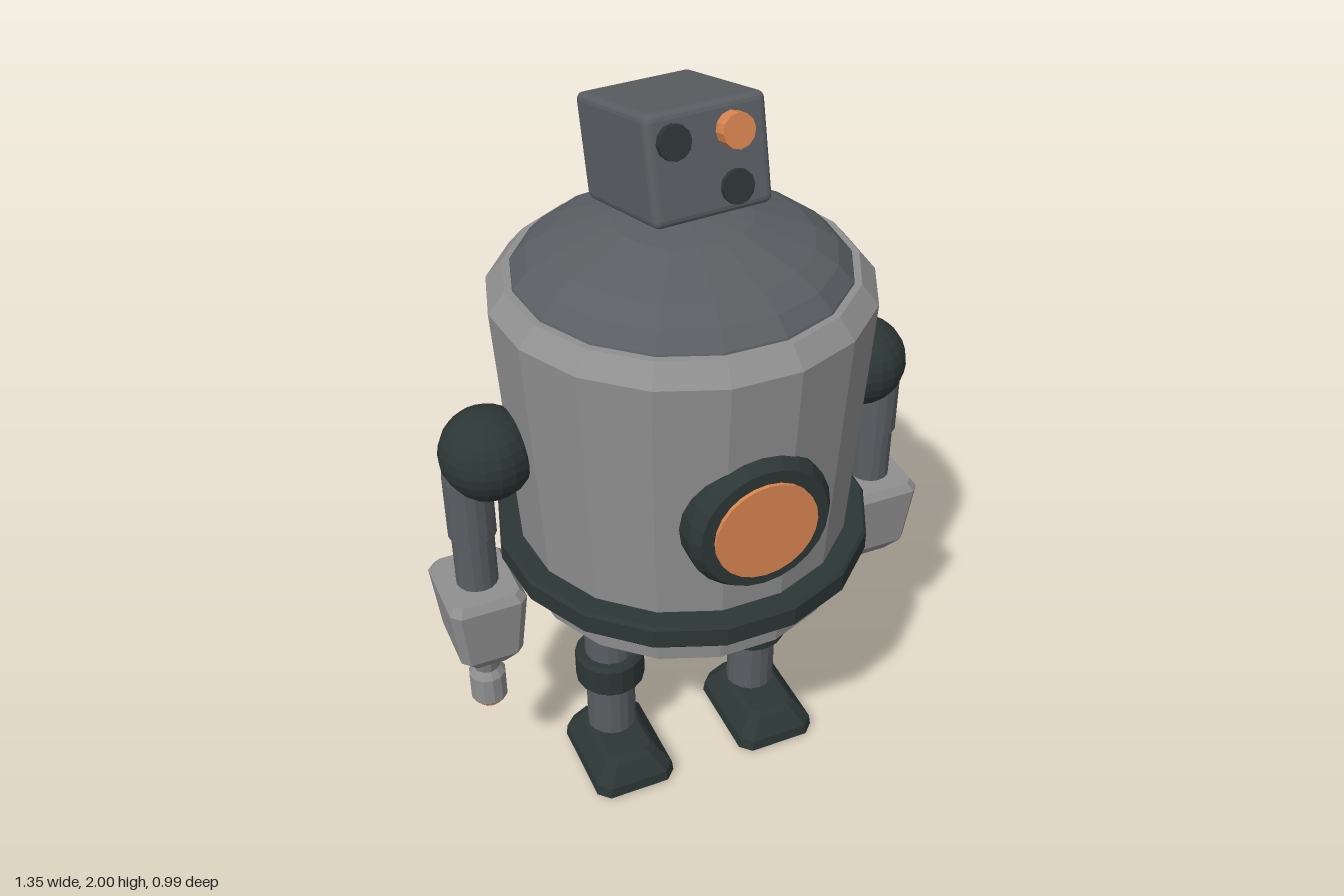
import * as THREE from 'three';
import { RoundedBoxGeometry } from 'three/addons/geometries/RoundedBoxGeometry.js';

const material = (name, color) => {
  const m = new THREE.MeshStandardMaterial({ color, flatShading: true });
  m.name = name;
  return m;
};

// Turned solid from [radius, y] points running bottom to top, a corner at the back
const turned = (points, sides) =>
  new THREE.LatheGeometry(points.map(([r, y]) => new THREE.Vector2(r, y)), sides, Math.PI);

// Chamfered rectangle sections { y, hx, z0, z1, c } stacked bottom to top, capped
function loft(sections) {
  const pos = [];
  const n = 8;
  for (const { y, hx, z0, z1, c } of sections) {
    const ring = [
      [hx - c, z1], [hx, z1 - c], [hx, z0 + c], [hx - c, z0],
      [c - hx, z0], [-hx, z0 + c], [-hx, z1 - c], [c - hx, z1],
    ];
    for (const [x, z] of ring) pos.push(x, y, z);
  }
  const index = [];
  for (let j = 0; j < sections.length - 1; j++) {
    for (let i = 0; i < n; i++) {
      const a = j * n + i, b = j * n + (i + 1) % n;
      index.push(a, b, a + n, b, b + n, a + n);
    }
  }
  const top = (sections.length - 1) * n;
  for (let i = 1; i < n - 1; i++) {
    index.push(0, i + 1, i, top, top + i, top + i + 1);
  }
  const g = new THREE.BufferGeometry();
  g.setAttribute('position', new THREE.Float32BufferAttribute(pos, 3));
  g.setIndex(index);
  g.computeVertexNormals();
  return g;
}

export function createModel() {
  const model = new THREE.Group();
  model.name = 'robot';
  const grey = material('light grey', 0x8f8f8f);
  const slate = material('slate', 0x5a5e62);
  const dark = material('dark green', 0x2c3735);
  const orange = material('orange', 0xd98550);

  const add = (parent, name, geometry, mat, x = 0, y = 0, z = 0) => {
    const mesh = new THREE.Mesh(geometry, mat);
    mesh.name = name;
    mesh.position.set(x, y, z);
    parent.add(mesh);
    return mesh;
  };

  // Barrel body, belt and dome
  add(model, 'body', turned([[0, 0.615], [0.37, 0.615], [0.425, 0.665], [0.475, 1.51], [0.432, 1.56], [0, 1.56]], 17), grey);
  add(model, 'belt', turned([[0.41, 0.763], [0.487, 0.763], [0.495, 0.772], [0.495, 0.823], [0.487, 0.832], [0.41, 0.832]], 17), dark);
  add(model, 'dome', turned([[0.418, 1.55], [0.412, 1.565], [0.375, 1.603], [0.32, 1.635], [0.17, 1.69], [0, 1.71]], 17), slate);

  // Round chest lamp
  const lamp = new THREE.Group();
  lamp.name = 'chestLamp';
  lamp.position.y = 1.106;
  lamp.rotation.x = Math.PI / 2;
  model.add(lamp);
  add(lamp, 'lampRim', turned([[0, 0.4], [0.185, 0.4], [0.185, 0.455], [0.165, 0.486], [0, 0.486]], 24), dark);
  add(lamp, 'lampGlass', new THREE.CylinderGeometry(0.132, 0.132, 0.02, 24), orange, 0, 0.486, 0);

  // Tilted box head with three eyes
  const head = new THREE.Group();
  head.name = 'head';
  head.position.set(0, 1.84, -0.05);
  head.rotation.set(-0.21, 0.085, 0, 'YXZ');
  model.add(head);
  add(head, 'headBox', new RoundedBoxGeometry(0.305, 0.256, 0.362, 2, 0.018), slate);
  const eyes = [
    ['rightEye', -0.09, 0.061, 0.015, dark],
    ['leftEye', 0.058, 0.061, 0.036, orange],
    ['lowerEye', 0.058, -0.069, 0.012, dark],
  ];
  for (const [name, x, y, depth, mat] of eyes) {
    const eye = add(head, name, new THREE.CylinderGeometry(0.041, 0.041, depth + 0.02, 12), mat, x, y, 0.171 + depth / 2);
    eye.rotation.x = Math.PI / 2;
  }

  const handShape = loft([
    { y: 0.513, hx: 0.05, z0: -0.08, z1: 0.06, c: 0.012 },
    { y: 0.565, hx: 0.084, z0: -0.112, z1: 0.098, c: 0.02 },
    { y: 0.745, hx: 0.102, z0: -0.13, z1: 0.114, c: 0.022 },
    { y: 0.768, hx: 0.086, z0: -0.113, z1: 0.1, c: 0.018 },
  ]);
  const footShape = loft([
    { y: 0, hx: 0.104, z0: -0.096, z1: 0.198, c: 0.025 },
    { y: 0.012, hx: 0.117, z0: -0.107, z1: 0.208, c: 0.03 },
    { y: 0.045, hx: 0.113, z0: -0.105, z1: 0.206, c: 0.03 },
    { y: 0.098, hx: 0.076, z0: -0.078, z1: 0.172, c: 0.025 },
    { y: 0.11, hx: 0.062, z0: -0.066, z1: 0.158, c: 0.02 },
  ]);
  const cuffShape = turned([[0.06, 0.283], [0.088, 0.283], [0.097, 0.293], [0.097, 0.376], [0.088, 0.386], [0.06, 0.386]], 16);

  // Arms and legs, one set per side
  for (const side of [-1, 1]) {
    const label = side > 0 ? 'left' : 'right';
    const arm = new THREE.Group();
    arm.name = label + 'Arm';
    arm.position.x = side * 0.575;
    model.add(arm);
    add(arm, 'shoulder', new THREE.SphereGeometry(0.12, 20, 14), dark, -side * 0.057, 1.153, 0);
    add(arm, 'upperArmBend', new THREE.SphereGeometry(0.062, 16, 10), slate, 0, 1.1, 0);
    add(arm, 'upperArm', new THREE.CylinderGeometry(0.062, 0.062, 0.175, 16), slate, 0, 1.0125, 0);
    add(arm, 'forearm', new THREE.CylinderGeometry(0.055, 0.055, 0.18, 16), slate, 0, 0.84, 0);
    add(arm, 'hand', handShape, grey);

    const leg = new THREE.Group();
    leg.name = label + 'Leg';
    leg.position.x = side * 0.222;
    model.add(leg);
    add(leg, 'shin', new THREE.CylinderGeometry(0.069, 0.069, 0.54, 16), slate, 0, 0.36, 0);
    add(leg, 'kneeCuff', cuffShape, dark);
    add(leg, 'foot', footShape, dark);

    // Nozzle below the right hand
    if (side < 0) {
      add(arm, 'nozzle', turned([[0, 0.348], [0.044, 0.348], [0.05, 0.356], [0.05, 0.44], [0.036, 0.462], [0.058, 0.53], [0, 0.53]], 12), grey);
      add(arm, 'nozzleTip', new THREE.CylinderGeometry(0.034, 0.034, 0.03, 12), orange, 0, 0.349, 0);
    }
  }
  return model;
}
